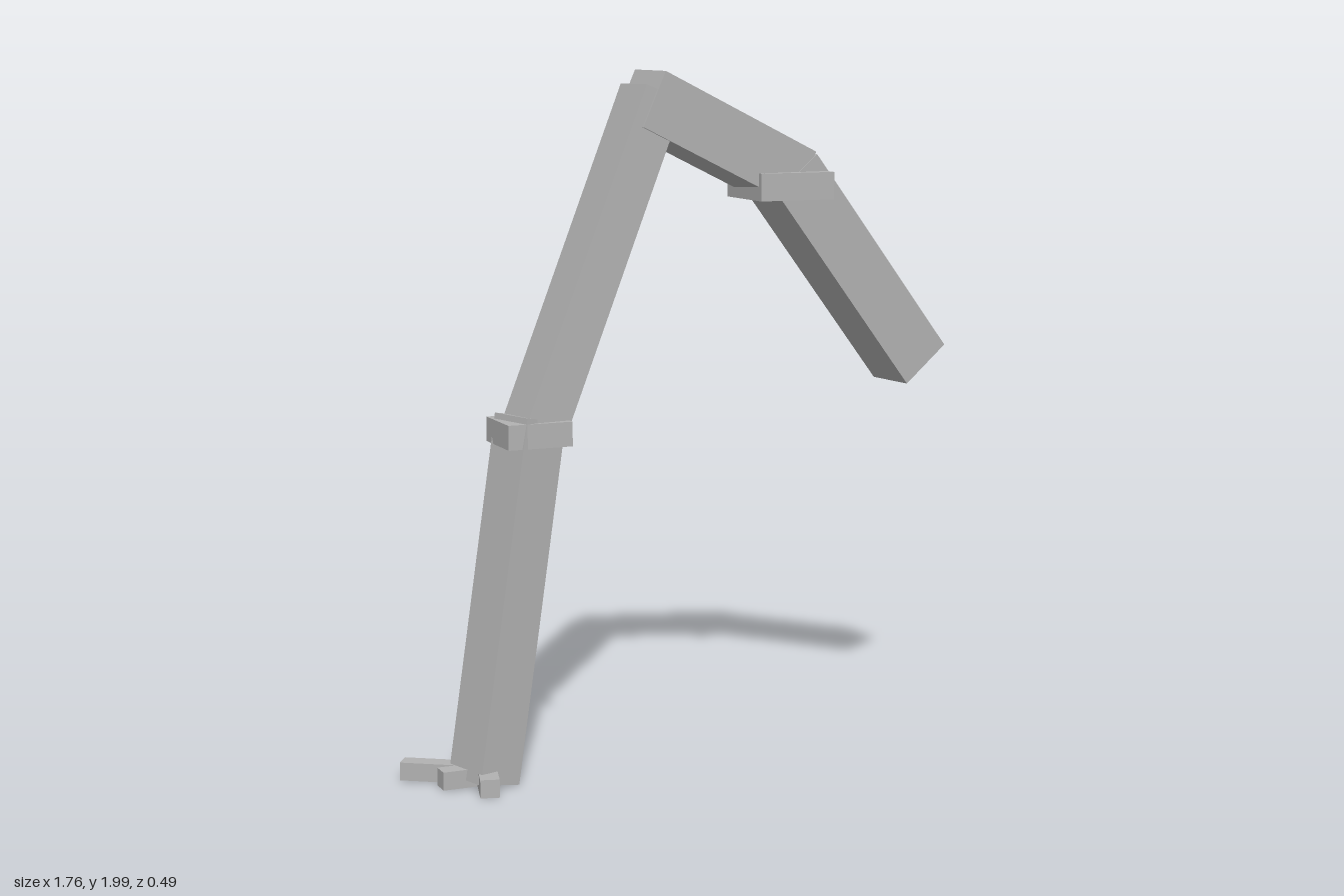
import * as THREE from 'three';

const grey = new THREE.MeshStandardMaterial({ color: 0xb2b2b2 });
grey.name = 'plain grey';

// Square-cut beam between two points; depthHint sets the roll about its axis.
function beam(name, start, end, width, depth, depthHint) {
  const a = new THREE.Vector3(...start);
  const b = new THREE.Vector3(...end);
  const yAxis = b.clone().sub(a);
  const length = yAxis.length();
  yAxis.normalize();
  const xAxis = yAxis.clone().cross(new THREE.Vector3(...depthHint)).normalize();
  const zAxis = xAxis.clone().cross(yAxis);
  const mesh = new THREE.Mesh(new THREE.BoxGeometry(width, length, depth), grey);
  mesh.name = name;
  mesh.quaternion.setFromRotationMatrix(new THREE.Matrix4().makeBasis(xAxis, yAxis, zAxis));
  mesh.position.copy(a).add(b).multiplyScalar(0.5);
  return mesh;
}

// Upright block given by its opposite corners.
function block(name, min, max) {
  const mesh = new THREE.Mesh(
    new THREE.BoxGeometry(max[0] - min[0], max[1] - min[1], max[2] - min[2]), grey);
  mesh.name = name;
  mesh.position.set(...min.map((v, i) => (v + max[i]) / 2));
  return mesh;
}

export function createModel() {
  const model = new THREE.Group();
  model.name = 'jointedLeg';
  const turn = [0.13, 0, 0.99];

  // Four limb segments from the foot to the free end
  model.add(
    beam('lowerLeg', [-0.672, 0.018, 0.09], [-0.502, 1.035, 0.033], 0.137, 0.15, [0.3, 0, 0.95]),
    beam('upperLeg', [-0.49, 1.01, 0.037], [-0.105, 1.935, -0.022], 0.13, 0.148, turn),
    beam('thigh', [-0.145, 1.92, -0.02], [0.365, 1.68, -0.095], 0.172, 0.17, turn),
    beam('bodyLink', [0.335, 1.695, -0.09], [0.803, 1.103, -0.15], 0.177, 0.174, turn),
  );

  // Collars round the two joints
  model.add(
    block('kneeCollar', [-0.6, 0.96, -0.06], [-0.41, 1.03, 0.125]),
    block('elbowCollar', [0.215, 1.62, -0.205], [0.45, 1.7, 0.03]),
  );

  // Three splayed toes
  const toes = new THREE.Group();
  toes.name = 'toes';
  const tips = [[-0.867, -0.052], [-0.8, 0.088], [-0.704, 0.233]];
  const roots = [[-0.69, 0.065], [-0.67, 0.088], [-0.665, 0.09]];
  tips.forEach(([x, z], i) => {
    const [rx, rz] = roots[i];
    toes.add(beam('toe', [rx, 0.034, rz], [x, 0.034, z], 0.054, 0.052, [0, 1, 0]));
  });
  model.add(toes);

  return model;
}
